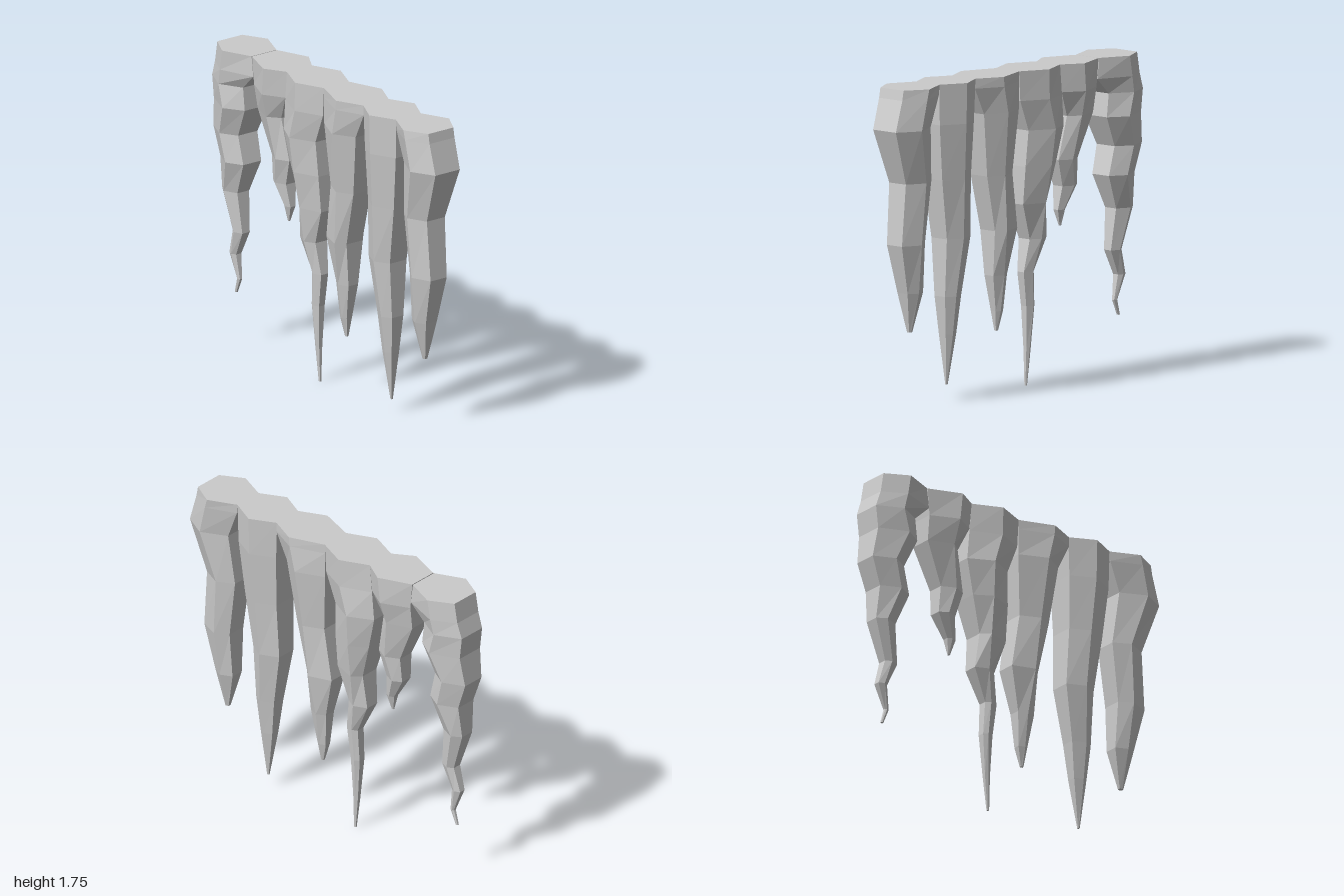
import * as THREE from 'three';

const TOP = 1.755;
const MAX_HALF_WIDTH = 0.157;
const EDGE_RATIO = 0.545; // end-edge width relative to the middle corner

// Each ring, top to bottom: [y, front z, middle z, back z]
const frontIcicle = [
  [TOP, 0.94, 0.81, 0.65], [1.7, 0.95, 0.825, 0.655], [1.53, 1, 0.866, 0.72],
  [1.23, 0.895, 0.785, 0.69], [0.89, 0.92, 0.81, 0.735],
  [0.62, 0.855, 0.797, 0.73], [0.4, 0.81, 0.8, 0.785],
];
const secondIcicle = [
  [TOP, 0.65, 0.505, 0.36], [1.53, 0.645, 0.505, 0.37], [1.22, 0.61, 0.49, 0.38],
  [0.89, 0.56, 0.475, 0.37], [0.57, 0.555, 0.5, 0.425],
  [0.36, 0.535, 0.5, 0.45], [0.08, 0.507, 0.5, 0.495],
];
const thirdIcicle = [
  [TOP, 0.365, 0.21, 0.01], [1.7, 0.365, 0.205, 0.01], [1.55, 0.29, 0.17, 0.01],
  [1.2, 0.24, 0.15, 0.037], [0.89, 0.17, 0.12, -0.01],
  [0.64, 0.16, 0.1, 0.05], [0.44, 0.125, 0.1, 0.065], [0.33, 0.11, 0.1, 0.092],
];
const fourthIcicle = [
  [TOP, 0.01, -0.155, -0.32], [1.59, 0, -0.16, -0.335], [1.42, -0.067, -0.21, -0.35],
  [1.22, -0.056, -0.2, -0.3], [1.01, -0.056, -0.215, -0.24],
  [0.81, -0.125, -0.185, -0.26], [0.63, -0.095, -0.147, -0.175],
  [0.44, -0.12, -0.16, -0.185], [0.2, -0.13, -0.147, -0.165], [0, -0.13, -0.136, -0.143],
];
fourthIcicle[4][2] = -0.19; // keep the mid corner between its neighbours
const shortIcicle = [
  [TOP, -0.32, -0.44, -0.63], [1.6, -0.335, -0.455, -0.615], [1.46, -0.4, -0.465, -0.61],
  [1.22, -0.35, -0.425, -0.505], [1.07, -0.395, -0.46, -0.51],
  [0.94, -0.378, -0.41, -0.435], [0.85, -0.406, -0.411, -0.418],
];
const backIcicle = [
  [TOP, -0.635, -0.805, -0.94], [1.64, -0.62, -0.825, -0.96], [1.55, -0.715, -0.845, -0.99],
  [1.42, -0.7, -0.81, -0.975], [1.25, -0.78, -0.877, -1], [1.09, -0.74, -0.835, -0.945],
  [0.9, -0.82, -0.9, -0.955], [0.67, -0.795, -0.845, -0.88],
  [0.53, -0.86, -0.887, -0.92], [0.39, -0.84, -0.855, -0.865], [0.305, -0.875, -0.883, -0.89],
];

// Six-sided cross-sections joined into a closed, tapering spike
function icicleGeometry(rings) {
  const positions = [];
  const index = [];
  for (const [y, front, middle, back] of rings) {
    const wide = Math.min(MAX_HALF_WIDTH, 0.55 * (front - back));
    const narrow = wide * EDGE_RATIO;
    positions.push(
      narrow, y, front, wide, y, middle, narrow, y, back,
      -narrow, y, back, -wide, y, middle, -narrow, y, front
    );
  }
  for (let r = 0; r < rings.length - 1; r++) {
    for (let s = 0; s < 6; s++) {
      const a = r * 6 + s;
      const b = r * 6 + ((s + 1) % 6);
      index.push(a + 6, b + 6, b, a + 6, b, a);
    }
  }
  // Flat top and tip
  const last = (rings.length - 1) * 6;
  for (let k = 1; k < 5; k++) {
    index.push(0, k, k + 1, last, last + k + 1, last + k);
  }
  const geometry = new THREE.BufferGeometry();
  geometry.setAttribute('position', new THREE.Float32BufferAttribute(positions, 3));
  geometry.setIndex(index);
  const faceted = geometry.toNonIndexed();
  faceted.computeVertexNormals();
  return faceted;
}

export function createModel() {
  const group = new THREE.Group();
  group.name = 'icicleRow';
  const ice = new THREE.MeshStandardMaterial({ color: 0xcccccc, flatShading: true });
  const icicles = { frontIcicle, secondIcicle, thirdIcicle, fourthIcicle, shortIcicle, backIcicle };
  for (const [name, rings] of Object.entries(icicles)) {
    const mesh = new THREE.Mesh(icicleGeometry(rings), ice);
    mesh.name = name;
    group.add(mesh);
  }
  return group;
}
